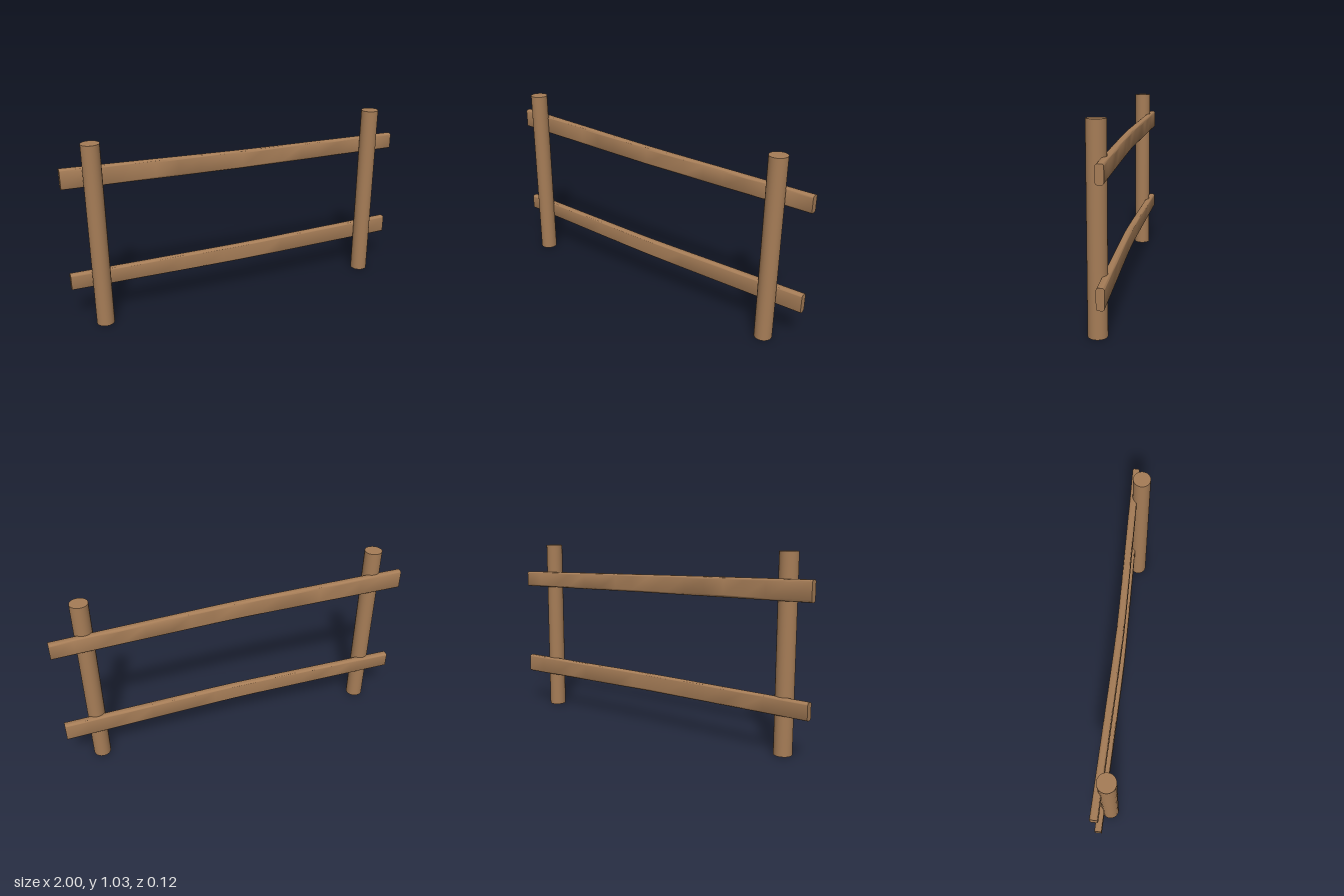
import * as THREE from 'three';
import { toCreasedNormals } from 'three/addons/utils/BufferGeometryUtils.js';

const lerp = THREE.MathUtils.lerp;

// Rounded-rectangle section in (z, y), swept along x
function railSection(w, h, r) {
  const x = w / 2, y = h / 2, s = new THREE.Shape();
  s.absarc(x - r, y - r, r, 0, Math.PI / 2);
  s.absarc(-x + r, y - r, r, Math.PI / 2, Math.PI);
  s.absarc(-x + r, -y + r, r, Math.PI, Math.PI * 1.5);
  s.absarc(x - r, -y + r, r, Math.PI * 1.5, Math.PI * 2);
  s.closePath();
  return s;
}

// Rail that tapers and slopes from left to right and bows forward in the middle
function makeRail(name, left, right, material) {
  const height = 0.1;
  let geo = new THREE.ExtrudeGeometry(railSection(0.04, height, 0.012), {
    depth: 2, steps: 16, bevelEnabled: false, curveSegments: 4,
  });
  geo.rotateY(Math.PI / 2);
  geo.translate(-1, 0, 0);
  const p = geo.attributes.position;
  for (let i = 0; i < p.count; i++) {
    const x = p.getX(i), t = (x + 1) / 2;
    const bottom = lerp(left[0], right[0], t), top = lerp(left[1], right[1], t);
    const bow = (Math.sqrt(x * x + 0.01) - 0.1) / 0.905;
    p.setY(i, lerp(bottom, top, p.getY(i) / height + 0.5));
    p.setZ(i, p.getZ(i) - 0.019 - 0.019 * bow);
  }
  geo = toCreasedNormals(geo, 0.6);
  const mesh = new THREE.Mesh(geo, material);
  mesh.name = name;
  return mesh;
}

export function createModel() {
  const group = new THREE.Group();
  group.name = 'fence';
  const wood = new THREE.MeshStandardMaterial({ color: 0xa67d57 });
  wood.name = 'brown wood';

  // Upright round posts
  const postHeight = 1.035;
  const postGeo = new THREE.CylinderGeometry(0.049, 0.049, postHeight, 32);
  for (const [name, x] of [['rightPost', -0.84], ['leftPost', 0.814]]) {
    const post = new THREE.Mesh(postGeo, wood);
    post.name = name;
    post.position.set(x, postHeight / 2, 0.01);
    group.add(post);
  }

  // Rails behind the posts: [bottom, top] heights at each end
  group.add(makeRail('upperRail', [0.796, 0.906], [0.768, 0.861], wood));
  group.add(makeRail('lowerRail', [0.217, 0.309], [0.202, 0.309], wood));
  return group;
}
